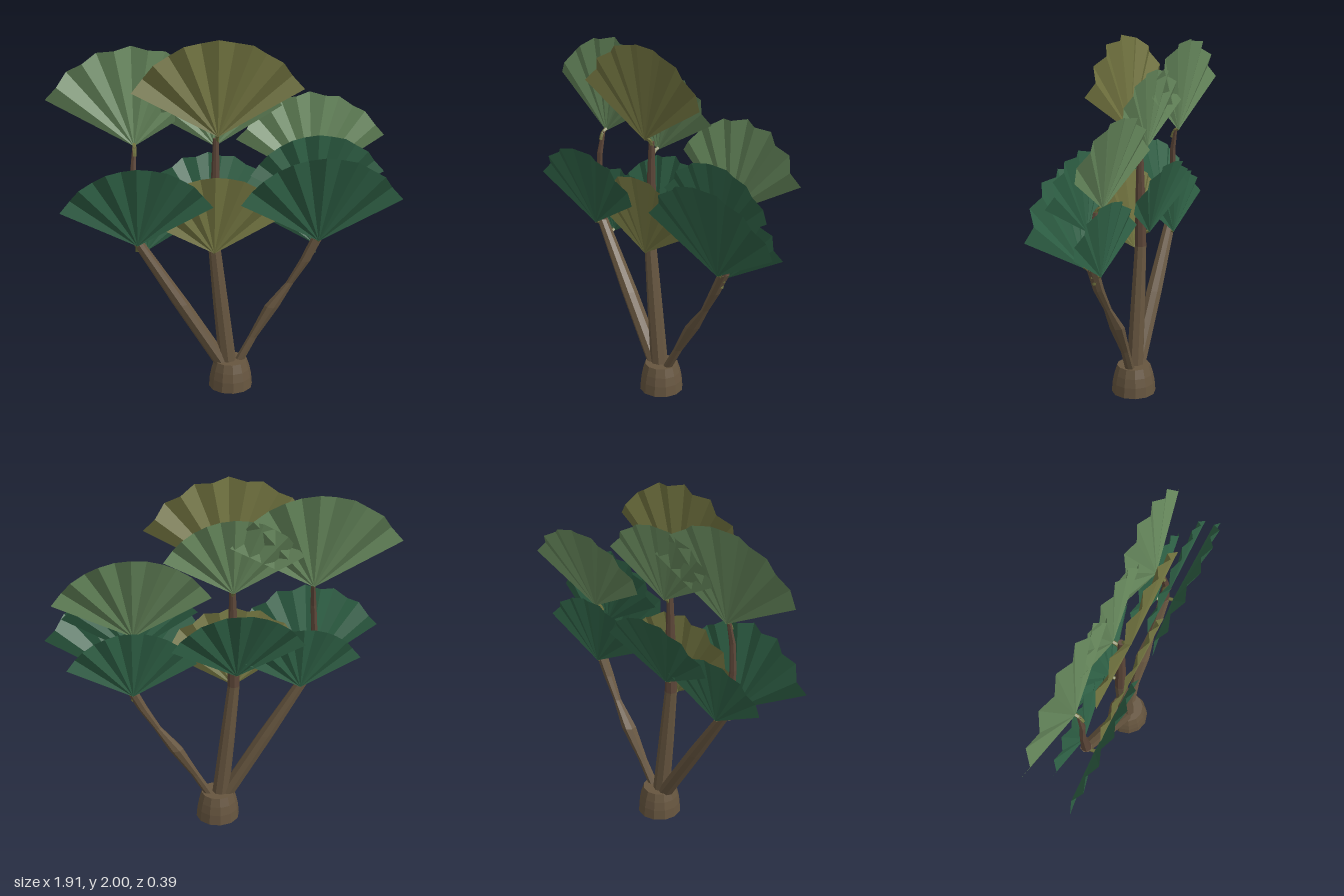
import * as THREE from 'three';

const flat = (name, color) => {
  const m = new THREE.MeshStandardMaterial({ color, flatShading: true, side: THREE.DoubleSide });
  m.name = name;
  return m;
};

export function createModel() {
  const group = new THREE.Group();
  const bark = flat('bark', 0x66553f);
  const stemBark = flat('stemBark', 0x5c4638);
  const lightGreen = flat('lightGreen', 0x64855a);
  const darkGreen = flat('darkGreen', 0x2e6045);
  const olive = flat('olive', 0x727440);

  const add = (name, geometry, material) => {
    const mesh = new THREE.Mesh(geometry, material);
    mesh.name = name;
    group.add(mesh);
    return mesh;
  };

  // Branch: a cylinder whose rows follow the stations [x, y, z, radius]
  const branch = (name, stations, material, sides = 8) => {
    const n = stations.length - 1;
    const geo = new THREE.CylinderGeometry(1, 1, 1, sides, n);
    const p = geo.attributes.position;
    for (let i = 0; i < p.count; i++) {
      const [x, y, z, r] = stations[Math.round((p.getY(i) + 0.5) * n)];
      p.setXYZ(i, x + p.getX(i) * r, y, z + p.getZ(i) * r);
    }
    add(name, geo, material);
  };

  // Pleated fan: 13 ribs from one apex, alternately ridge and valley
  const fan = (name, x, y, z, radius, lean, material) => {
    const side = Math.sign(z), ribs = 12, spread = THREE.MathUtils.degToRad(122);
    const rim = [];
    for (let i = 0; i <= ribs; i++) {
      const a = (i / ribs - 0.5) * spread;
      const ridge = i % 2 === 0;
      const r = radius * (ridge ? 1 : 0.975);
      const h = r * Math.cos(a);
      rim.push([x + r * Math.sin(a), y + h,
        z + side * (lean * h / radius + (ridge ? 0.035 : -0.035) * r)]);
    }
    const pos = [];
    for (let i = 0; i < ribs; i++) pos.push(x, y, z, ...rim[i + 1], ...rim[i]);
    const geo = new THREE.BufferGeometry();
    geo.setAttribute('position', new THREE.Float32BufferAttribute(pos, 3));
    geo.computeVertexNormals();
    add(name, geo, material);
  };

  // Short hooked stalk joining a stem to a fan's apex
  const stalk = (x, y, z) => {
    const curve = new THREE.QuadraticBezierCurve3(
      new THREE.Vector3(x, y - 0.045, 0),
      new THREE.Vector3(x, y + 0.005, z * 0.3),
      new THREE.Vector3(x, y + 0.01, z));
    add('leafStalk', new THREE.TubeGeometry(curve, 4, 0.011, 5), olive);
  };

  // Stump
  const profile = [[0, 0], [0.125, 0], [0.12, 0.06], [0.11, 0.11], [0.094, 0.16], [0, 0.16]]
    .map(([r, y]) => new THREE.Vector2(r, y));
  add('stump', new THREE.LatheGeometry(profile, 12), bark).position.x = 0.03;

  // Three trunks and their thinner upper stems
  branch('leftTrunk', [[-0.01, 0.13, 0, 0.05], [-0.25, 0.52, 0, 0.047], [-0.485, 0.9, 0, 0.032]], bark);
  branch('centreTrunk', [[0.015, 0.13, 0, 0.05], [-0.025, 0.5, 0, 0.043], [-0.06, 0.84, 0, 0.034]], bark);
  branch('rightTrunk', [[0.07, 0.13, 0, 0.028], [0.16, 0.29, -0.01, 0.026], [0.27, 0.47, -0.015, 0.042],
    [0.37, 0.61, -0.01, 0.022], [0.45, 0.74, 0, 0.03], [0.515, 0.87, 0, 0.032]], bark, 7);
  branch('leftStem', [[-0.485, 0.9, 0, 0.03], [-0.505, 1.15, 0, 0.018], [-0.495, 1.3, 0, 0.017],
    [-0.485, 1.42, -0.02, 0.012]], stemBark, 6);
  branch('centreStem', [[-0.06, 0.84, 0, 0.034], [-0.055, 1.15, 0, 0.027], [-0.05, 1.46, 0, 0.016]], stemBark);
  branch('rightStem', [[0.515, 0.87, 0, 0.03], [0.52, 1.02, 0, 0.022], [0.495, 1.17, -0.01, 0.014]], stemBark, 6);

  // Leaves: name, apex x, y, z, radius, outward lean, colour
  const leaves = [
    ['topFrontLeaf', -0.045, 1.48, 0.055, 0.52, 0.035, olive],
    ['lowerFrontLeaf', -0.065, 0.82, 0.04, 0.45, 0.045, olive],
    ['rightSideFrontLeaf', -0.485, 0.885, 0.05, 0.465, 0.11, darkGreen],
    ['leftSideFrontLeaf', 0.515, 0.87, 0.05, 0.51, 0.125, darkGreen],
    ['leftSideMiddleLeaf', 0.495, 1.06, 0.04, 0.42, 0.03, darkGreen],
    ['rightSideTopLeaf', -0.485, 1.42, -0.04, 0.525, 0.055, lightGreen],
    ['topBackLeaf', -0.05, 1.405, -0.045, 0.425, 0.045, lightGreen],
    ['leftSideBackLeaf', 0.49, 1.19, -0.05, 0.475, 0.105, lightGreen],
    ['centreBackLeaf', -0.07, 0.92, -0.05, 0.415, 0.13, darkGreen],
    ['rightSideBackLeaf', -0.43, 0.825, -0.04, 0.37, 0.045, darkGreen],
    ['leftSideLowerBackLeaf', 0.5, 0.83, -0.04, 0.4, 0.045, darkGreen],
  ];
  for (const leaf of leaves) {
    fan(...leaf);
    stalk(leaf[1], leaf[2], leaf[3]);
  }
  return group;
}
